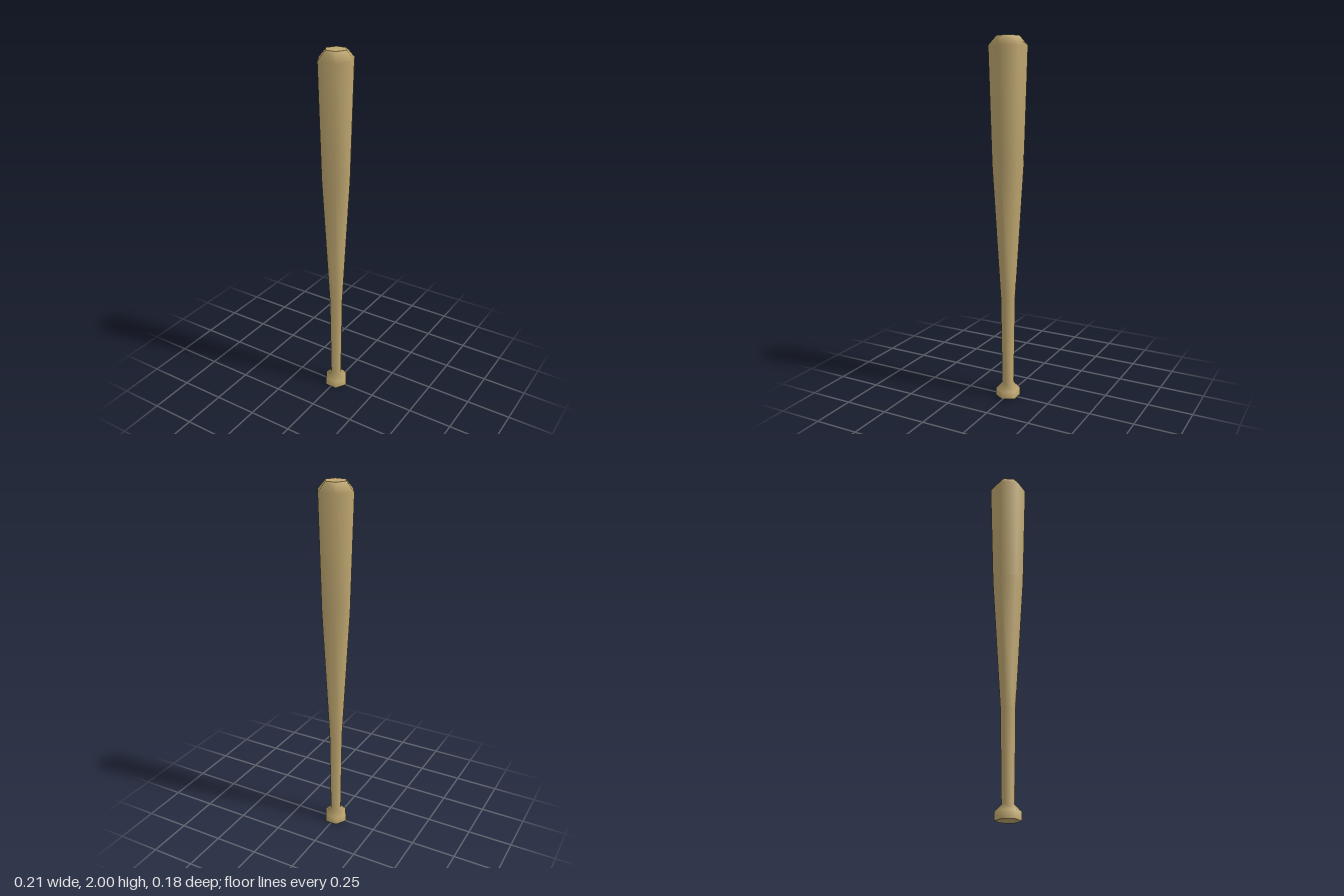
import * as THREE from 'three';

const SIDES = 6;

// Radius and height of the bat, from knob to tip
const PROFILE = [
  [0.068, 0], [0.068, 0.045], [0.033, 0.08],
  [0.04, 0.58], [0.085, 1.33], [0.103, 1.95], [0.059, 2],
];

export function createModel() {
  const model = new THREE.Group();
  model.name = 'bat';
  const wood = new THREE.MeshStandardMaterial({ color: 0xbfa770 });
  wood.name = 'wood';

  const add = (name, geometry, y = 0) => {
    const mesh = new THREE.Mesh(geometry, wood);
    mesh.name = name;
    mesh.position.y = y;
    model.add(mesh);
  };

  // Knob, handle and barrel in one smooth six-sided turning, corners on the x axis
  const points = PROFILE.map(([r, y]) => new THREE.Vector2(r, y));
  add('body', new THREE.LatheGeometry(points, SIDES, Math.PI / 2));

  // Flat ends
  add('knobEnd', new THREE.CircleGeometry(PROFILE[0][0], SIDES).rotateX(Math.PI / 2));
  add('barrelEnd', new THREE.CircleGeometry(PROFILE.at(-1)[0], SIDES).rotateX(-Math.PI / 2), 2);

  return model;
}
